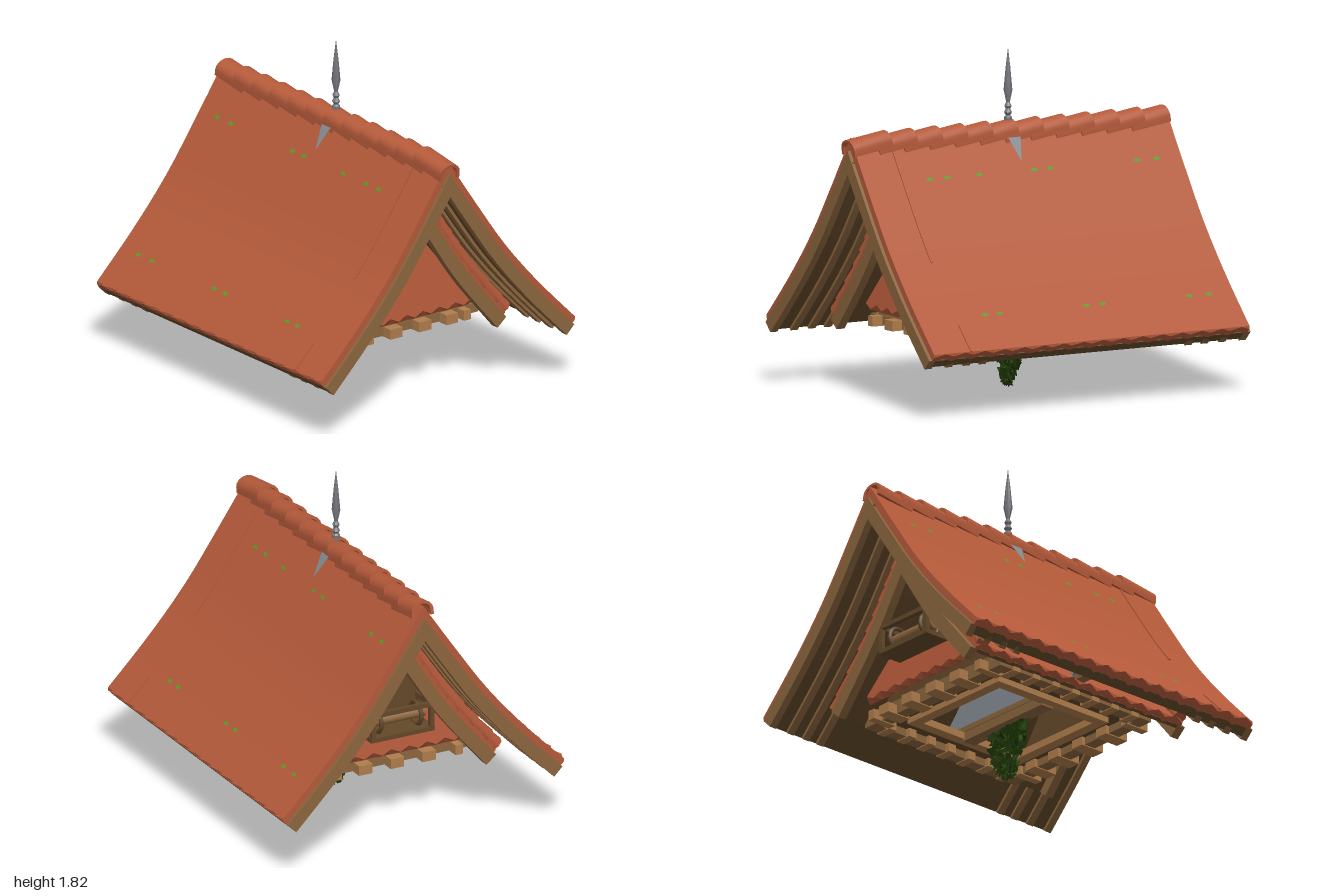
import * as THREE from 'three';
import { toCreasedNormals } from 'three/addons/utils/BufferGeometryUtils.js';

const mat = (name, color, side = THREE.FrontSide) => {
  const m = new THREE.MeshStandardMaterial({ color, side });
  m.name = name;
  return m;
};
const M = {
  tile: mat('terracotta', 0xb55a3a),
  wood: mat('timber', 0x8c663e),
  dark: mat('dark timber', 0x65492a),
  light: mat('light timber', 0xb07e4c),
  grey: mat('lead grey', 0x858d93, THREE.DoubleSide),
  iron: mat('iron', 0x75777d),
  leaf: mat('dark leaf', 0x1b3306, THREE.DoubleSide),
  leaf2: mat('leaf', 0x2c500c, THREE.DoubleSide),
  moss: mat('moss', 0x5f9a25, THREE.DoubleSide),
};
const vecs = pts => pts.map(p => new THREE.Vector2(...p));

// curved slopes, from ridge to eave, with an extra point just before the eave
function curve(pts, n) {
  const out = new THREE.SplineCurve(vecs(pts)).getPoints(n);
  out.splice(n, 0, out[n - 1].clone().lerp(out[n], 0.85));
  return out;
}
const OUTER = curve([[0, 1.42], [0.2, 1.125], [0.385, 0.865], [0.6, 0.615], [0.85, 0.36]], 14);
const INNER = curve([[0, 1.18], [0.15, 0.94], [0.32, 0.69], [0.575, 0.385]], 10);

// point i of a slope moved inward by d
function inset(pts, i, d) {
  const a = pts[Math.max(i - 1, 0)], b = pts[Math.min(i + 1, pts.length - 1)];
  const t = b.clone().sub(a).normalize(), p = pts[i];
  if (p.x < 1e-6) return new THREE.Vector2(0, p.y - d / t.x);
  return new THREE.Vector2(p.x + t.y * d, p.y - t.x * d);
}

export function createModel() {
  const root = new THREE.Group();
  root.name = 'gableRoof';

  function add(name, geo, m, x = 0, y = 0, z = 0, parent = root) {
    const mesh = new THREE.Mesh(geo, m);
    mesh.name = name;
    mesh.position.set(x, y, z);
    parent.add(mesh);
    return mesh;
  }
  const box = (name, m, w, h, d, x, y, z) => add(name, new THREE.BoxGeometry(w, h, d), m, x, y, z);

  // layer following a slope on both sides, between depths d0 and d1
  function layer(name, m, pts, d0, d1, z0, z1, o = {}) {
    const from = o.from ?? 0, to = o.to ?? pts.length - 1;
    for (const s of [1, -1]) {
      const top = [], low = [];
      for (let i = from; i <= to; i++) {
        const a = inset(pts, i, d0), b = inset(pts, i, d1);
        top.push(new THREE.Vector2(a.x * s, a.y));
        low.unshift(new THREE.Vector2(b.x * s, b.y));
      }
      const g = new THREE.ExtrudeGeometry(new THREE.Shape([...top, ...low]),
        { depth: z1 - z0, steps: o.waves ? o.waves * 2 : 1, bevelEnabled: false });
      g.translate(0, 0, z0);
      if (o.waves) { // zigzag eave
        const p = g.attributes.position, step = (z1 - z0) / (o.waves * 2);
        const n = pts.length - 1;
        const ends = [inset(pts, n, d0).x, inset(pts, n, d1).x];
        for (let i = 0; i < p.count; i++) {
          const x = Math.abs(p.getX(i));
          if (!ends.some(e => Math.abs(e - x) < 1e-4)) continue;
          const w = Math.round((p.getZ(i) - z0) / step) % 2 ? 0.009 : -0.009;
          p.setXYZ(i, p.getX(i) + s * w, p.getY(i) + w, p.getZ(i));
        }
      }
      add(name, toCreasedNormals(g, 0.5), m);
    }
  }

  // main roof: tiles, boarding, bargeboards, rafters
  layer('mainTiles', M.tile, OUTER, 0, 0.04, -0.98, 0.98, { waves: 16 });
  layer('mainBoarding', M.dark, OUTER, 0.04, 0.092, -0.96, 0.96);
  for (const s of [1, -1]) layer('mainBargeboard', M.wood, OUTER, 0.038, 0.108, s > 0 ? 0.955 : -0.998, s > 0 ? 0.998 : -0.955);
  for (const z of [0.85, 0.74, 0.64, -0.64, -0.74, -0.85])
    layer('rafter', M.wood, OUTER, 0.07, 0.108, z - 0.022, z + 0.022);
  layer('raisedSeam', M.tile, OUTER, -0.006, 0.004, 0.742, 0.755, { from: 0, to: 8 });
  layer('raisedSeam', M.tile, OUTER, -0.006, 0.004, 0.742, 0.755, { from: 12, to: 14 });
  box('tieBeam', M.wood, 1.26, 0.03, 0.06, 0, 0.41, 0);

  // overlapping curved ridge tiles
  function ridge(name, r, top, z0, step, len, n, tilt) {
    const arc = [];
    for (const [k, drop] of [[1, 0.5], [0.72, 0.5]]) {
      const side = [new THREE.Vector2(r * k, -r * drop)];
      for (let i = 0; i <= 8; i++) side.push(new THREE.Vector2(r * k * Math.cos(i * Math.PI / 8), r * k * Math.sin(i * Math.PI / 8) * 0.8));
      side.push(new THREE.Vector2(-r * k, -r * drop));
      arc.push(...(k === 1 ? side : side.reverse()));
    }
    const g = toCreasedNormals(new THREE.ExtrudeGeometry(new THREE.Shape(arc), { depth: len, bevelEnabled: false }).translate(0, 0, -len), 0.6);
    for (let i = 0; i < n; i++)
      add(name, g, M.tile, 0, top - r * 0.8, z0 - i * step).rotation.x = tilt;
  }
  ridge('ridgeTile', 0.065, 1.41, 0.995, 0.157, 0.24, 12, 0.15);
  ridge('innerRidgeTile', 0.06, 1.18, 0.76, 0.157, 0.2, 9, 0.1);

  // smaller inner roof
  layer('innerTiles', M.tile, INNER, 0, 0.03, -0.73, 0.73, { waves: 12 });
  layer('innerBoarding', M.dark, INNER, 0.03, 0.05, -0.71, 0.71);
  for (const s of [1, -1]) layer('innerBargeboard', M.wood, INNER, 0.03, 0.105, s > 0 ? 0.71 : -0.76, s > 0 ? 0.76 : -0.71);

  // round verge tiles along the inner roof ends
  for (const e of [1, -1]) for (const s of [1, -1]) for (let i = 1; i < INNER.length - 1; i++) {
    const a = inset(INNER, i - 1, -0.014), b = inset(INNER, i, -0.014), len = a.distanceTo(b) * 1.15;
    const t = add('vergeTile', new THREE.CylinderGeometry(0.03, 0.04, len, 8), M.tile,
      s * (a.x + b.x) / 2, (a.y + b.y) / 2, e * 0.7);
    t.rotation.z = s * Math.atan2(b.x - a.x, a.y - b.y);
  }

  // tiled gable skirts with a timber wall behind; the back skirt stops below the balcony
  for (const e of [1, -1]) {
    const end = new THREE.Group();
    end.name = e > 0 ? 'frontGable' : 'backGable';
    end.rotation.y = e > 0 ? 0 : Math.PI;
    root.add(end);
    const s = new THREE.Shape(vecs(e > 0 ? [[0, 1.03]] : [[0.29, 0.63], [-0.29, 0.63]]));
    for (let i = 0; i <= 16; i++) s.lineTo(-0.43 + i * 0.86 / 16, i % 2 ? 0.43 : 0.455);
    s.closePath();
    const g = new THREE.ExtrudeGeometry(s, { depth: 0.025, bevelEnabled: false });
    const p = g.attributes.position;
    for (let i = 0; i < p.count; i++) {
      const y = p.getY(i), z = p.getZ(i) + 0.5 + (1.03 - y) * 0.16;
      p.setXYZ(i, p.getX(i), y < 0.5 && p.getZ(i) < 0.01 ? 0.415 : y, z);
    }
    g.computeVertexNormals();
    add('gableTiles', g, M.tile, 0, 0, 0, end);
    const w = new THREE.Shape(vecs([[-0.46, 0.38], [0.46, 0.38], [0, 1.05]]));
    add('gableWall', new THREE.ExtrudeGeometry(w, { depth: 0.02, bevelEnabled: false }), M.dark, 0, 0, 0.475, end);
    add('gableSill', new THREE.BoxGeometry(0.9, 0.04, 0.03), M.wood, 0, 0.4, 0.51, end);
  }

  // grey partition between the two roofs
  const part = new THREE.Shape(vecs([[-0.56, 0.47], [-0.52, 0.42], [0.52, 0.42], [0.56, 0.47], [0.51, 0.54], [0.3, 0.72],
    [0.12, 1.06], [0, 1.26], [-0.12, 1.06], [-0.3, 0.72], [-0.51, 0.54]]));
  add('partition', new THREE.ExtrudeGeometry(part, { depth: 0.04, bevelEnabled: false }), M.grey, 0, 0, -0.02);

  // base frame with joist ends all round
  const joists = [[-0.42, 0.045], [-0.24, 0.08], [-0.05, 0.08], [0.14, 0.08], [0.32, 0.075], [0.42, 0.045]];
  for (const s of [1, -1]) {
    box('endBeam', M.wood, 1.07, 0.05, 0.07, 0, 0.36, s * 0.5);
    box('sideBeam', M.wood, 0.07, 0.05, 0.94, s * 0.5, 0.36, 0);
    box('innerEndBeam', M.light, 0.72, 0.04, 0.06, 0, 0.365, s * 0.36);
    box('innerSideBeam', M.light, 0.06, 0.04, 0.78, s * 0.33, 0.365, 0);
    box('endDeck', M.dark, 0.94, 0.015, 0.13, 0, 0.385, s * 0.43);
    box('sideDeck', M.dark, 0.13, 0.015, 0.8, s * 0.42, 0.385, 0);
    for (const [x, w] of joists) box('joistEnd', M.light, w, 0.055, 0.15, x, 0.357, s * 0.52);
    for (let i = -3; i <= 3; i++) box('joistEnd', M.light, 0.1, 0.052, 0.05, s * 0.49, 0.356, i * 0.14);
  }
  box('crossBeam', M.wood, 0.62, 0.05, 0.08, 0, 0.36, 0);

  // small wooden winch balcony at the back
  box('balconyFloor', M.dark, 0.38, 0.025, 0.18, 0, 0.59, -0.66);
  for (const s of [1, -1]) {
    for (const z of [-0.74, -0.6]) box('balconyPost', M.dark, 0.025, 0.15, 0.025, s * 0.175, 0.66, z);
    box('balconySideRail', M.dark, 0.025, 0.025, 0.17, s * 0.175, 0.73, -0.665);
    add('winchWheel', new THREE.TorusGeometry(0.062, 0.012, 6, 14), M.dark, s * 0.12, 0.665, -0.67).rotation.y = Math.PI / 2;
  }
  box('balconyRail', M.dark, 0.38, 0.025, 0.025, 0, 0.73, -0.74);
  add('winchDrum', new THREE.CylinderGeometry(0.03, 0.03, 0.33, 8), M.wood, 0, 0.665, -0.67).rotation.z = Math.PI / 2;

  // finial with pointed flashing lying on both slopes
  const prof = vecs([[0.02, 1.4], [0.022, 1.455], [0.012, 1.465], [0.022, 1.48], [0.012, 1.5], [0.02, 1.515], [0.01, 1.535],
    [0.024, 1.6], [0.013, 1.72], [0, 1.83]]);
  add('finial', toCreasedNormals(new THREE.LatheGeometry(prof, 8), 0.5), M.iron);
  for (const s of [1, -1]) {
    const g = new THREE.BufferGeometry();
    const a = [s * 0.062, 1.36, s * 0.04], b = [s * 0.062, 1.36, -s * 0.04], tip = [s * 0.137, 1.235, 0];
    g.setAttribute('position', new THREE.Float32BufferAttribute([...a, ...b, ...tip], 3));
    g.computeVertexNormals();
    add('flashing', g, M.grey);
  }

  // thin moss tufts on the tiles
  const mossGeo = new THREE.CircleGeometry(0.02, 6).rotateX(-Math.PI / 2);
  const tuft = (x, y, z, s, k) => {
    const m = add('moss', mossGeo, M.moss, s * (x + 0.006), y + 0.005, z);
    m.rotation.z = -s * k;
    m.scale.set(0.6, 1, 1.1);
  };
  for (const s of [1, -1]) {
    for (const z of [0.59, 0.48, 0.28, -0.06, -0.16, -0.7, -0.82]) tuft(0.16, 1.185, z, s, 0.97);
    for (const z of [0.57, 0.48, -0.06, -0.16, -0.7, -0.82]) tuft(0.684, 0.527, z, s, 0.79);
  }
  add('gableMoss', new THREE.CircleGeometry(0.022, 5), M.moss, 0.04, 0.9, 0.555);

  // flat hanging vine, dense at the top
  let seed = 7;
  const rnd = () => (seed = (seed * 16807) % 2147483647) / 2147483647;
  const leafGeo = new THREE.CircleGeometry(0.036, 3);
  for (let i = 0; i < 260; i++) {
    const t = Math.pow(rnd(), 1.3), half = t < 0.5 ? 0.135 : 0.135 - (t - 0.5) * 0.2;
    const l = add('vineLeaf', leafGeo, i % 6 ? M.leaf : M.leaf2,
      0.01 + (rnd() * 2 - 1) * half, 0.33 - t * 0.305, 0.01 + (rnd() - 0.5) * 0.02);
    l.rotation.set((rnd() - 0.5) * 0.6, (rnd() - 0.5) * 0.7, rnd() * 6.28);
    l.scale.setScalar(1.1 - t * 0.6);
  }
  return root;
}
